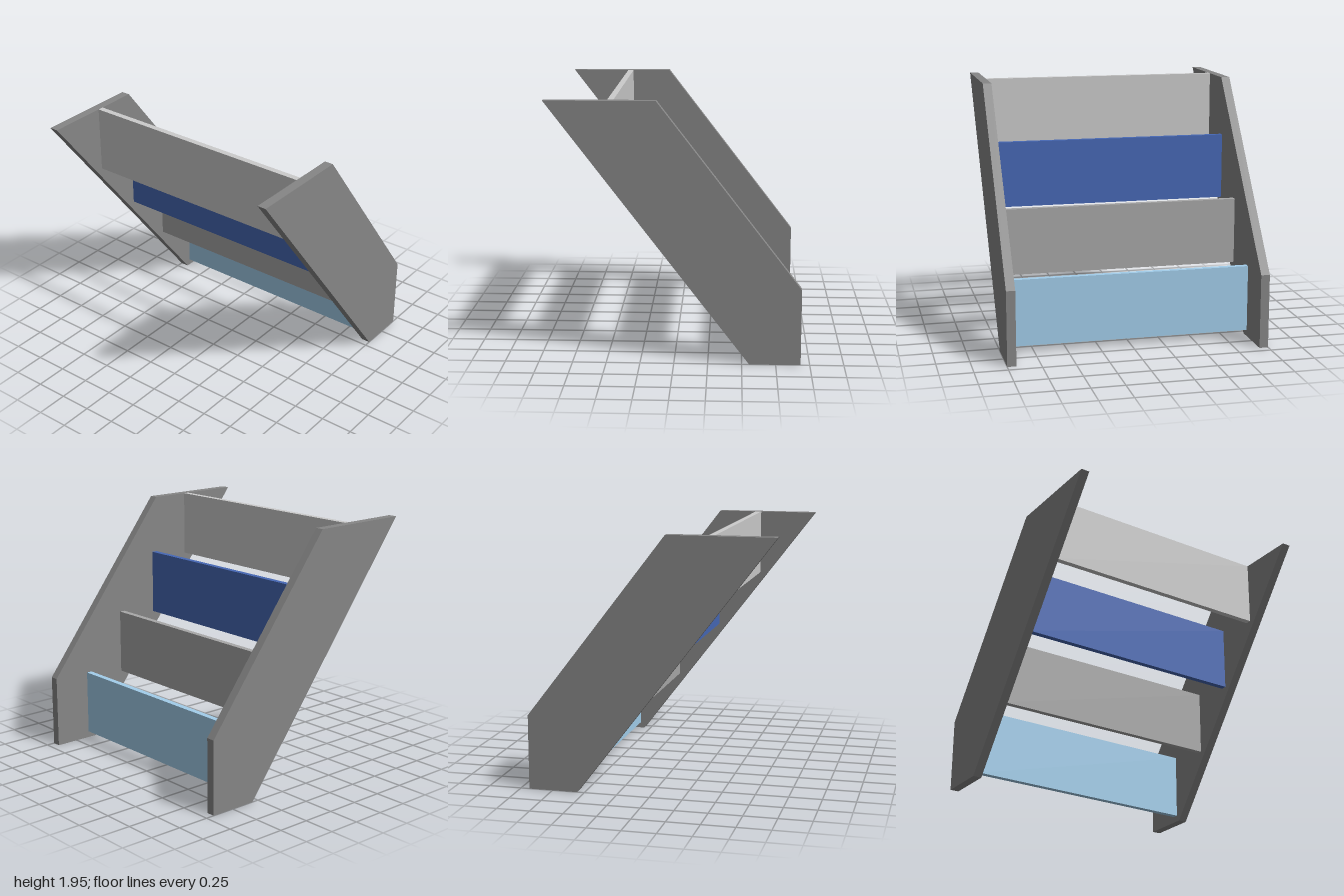
import * as THREE from 'three';

const material = (color) => new THREE.MeshStandardMaterial({ color, flatShading: true });

export function createModel() {
  const model = new THREE.Group();
  model.name = 'slantedRack';

  // Slanted side boards: profile as (z, y), extruded across the thickness
  const thickness = 0.068;
  const profile = new THREE.Shape(
    [[-0.555, 0], [0.933, 1.945], [0.125, 1.945], [-0.933, 0.57], [-0.933, 0]]
      .map(([z, y]) => new THREE.Vector2(-z, y))
  );
  const sideGeometry = new THREE.ExtrudeGeometry(profile, { depth: thickness, bevelEnabled: false });
  sideGeometry.rotateY(Math.PI / 2); // shape x -> -z, depth -> +x
  const sideMaterial = material(0x868686);
  for (const [name, x] of [['leftSide', 1 - thickness], ['rightSide', -1]]) {
    const side = new THREE.Mesh(sideGeometry, sideMaterial);
    side.name = name;
    side.position.x = x;
    model.add(side);
  }

  // Upright panels stepping up and forward between the sides
  const height = 0.515;
  const panelGeometry = new THREE.BoxGeometry(2 - 2 * thickness, height, 0.045);
  const panels = [
    ['bottomPanel', 0xa2ceeb],
    ['lowerPanel', 0xa8a8a8],
    ['upperPanel', 0x4668b5],
    ['topPanel', 0xcccccc],
  ];
  panels.forEach(([name, color], i) => {
    const panel = new THREE.Mesh(panelGeometry, material(color));
    panel.name = name;
    panel.position.set(0, 0.05 + height / 2 + i * 0.46, -0.607 + i * 0.3535);
    model.add(panel);
  });

  return model;
}
